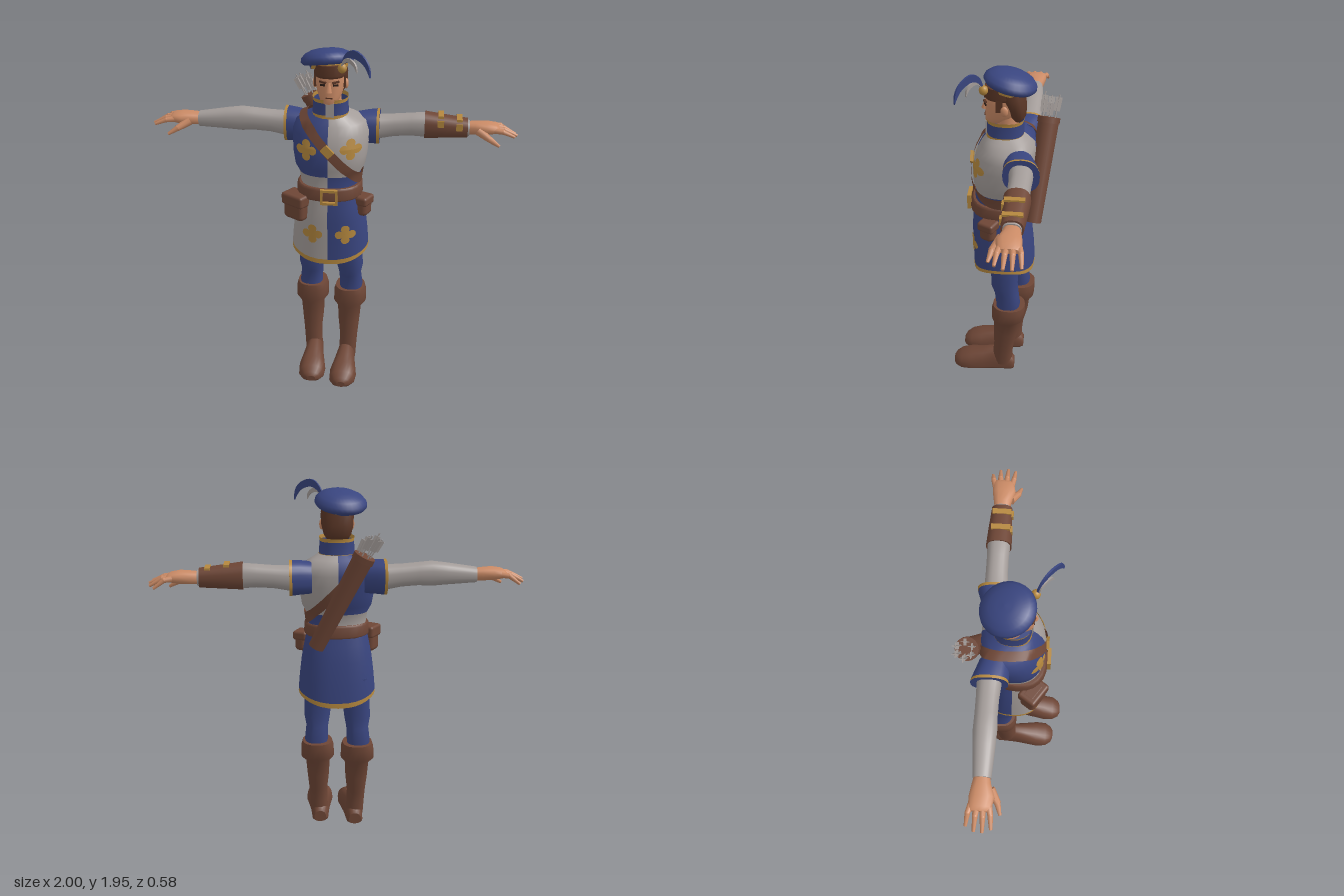
import * as THREE from 'three';
import { RoundedBoxGeometry } from 'three/addons/geometries/RoundedBoxGeometry.js';

const V = (x, y, z) => new THREE.Vector3(x, y, z);
const paint = (name, color) => new THREE.MeshStandardMaterial({ name, color });
const EXP = 0.84; // slightly squared ellipse

// Row: [y, halfWidth, zFront, zBack, zCentre, xCentre, dip]
function ringPoint(r, a) {
  const c = Math.cos(a), s = Math.sin(a), zc = r[4] ?? (r[2] + r[3]) / 2;
  const x = (r[5] || 0) + r[1] * Math.sign(c) * Math.abs(c) ** EXP;
  const z = zc + (s > 0 ? r[2] - zc : r[3] - zc) * Math.abs(s) ** EXP;
  return V(x, r[0] - (r[6] || 0) * s * s, z);
}

// Row of a profile interpolated at height y
function rowAt(rows, y) {
  y = Math.min(Math.max(y, rows[0][0]), rows[rows.length - 1][0]);
  const i = Math.max(1, rows.findIndex((r) => r[0] >= y));
  const p = rows[i - 1], q = rows[i], t = (y - p[0]) / (q[0] - p[0]);
  return [0, 1, 2, 3, 4].map((k) => p[k] + (q[k] - p[k]) * t);
}

// Skin through rows of rising y; pick(row, angle) chooses the material slot
function loft(rows, { seg = 24, caps = true, pick = () => 0 } = {}) {
  const pos = [], faces = [];
  const add = (slot, ...v) => (faces[slot] ??= []).push(...v);
  const ring = (r) => {
    const start = pos.length / 3;
    for (let j = 0; j < seg; j++) pos.push(...ringPoint(r, (j / seg) * Math.PI * 2).toArray());
    return start;
  };
  rows.forEach(ring);
  for (let i = 0; i < rows.length - 1; i++) for (let j = 0; j < seg; j++) {
    const a = i * seg + j, b = i * seg + (j + 1) % seg, c = a + seg, d = b + seg;
    add(pick(i, ((j + 0.5) / seg) * Math.PI * 2), a, c, b, b, c, d);
  }
  if (caps) for (const top of [false, true]) {
    const r = top ? rows[rows.length - 1] : rows[0], s = ring(r), m = pos.length / 3;
    pos.push(r[5] || 0, r[0], (r[2] + r[3]) / 2);
    for (let j = 0; j < seg; j++) {
      const a = s + j, b = s + (j + 1) % seg;
      add(0, ...(top ? [m, b, a] : [m, a, b]));
    }
  }
  const g = new THREE.BufferGeometry();
  g.setAttribute('position', new THREE.Float32BufferAttribute(pos, 3));
  g.setIndex(faces.flat());
  let start = 0;
  faces.forEach((f, k) => { g.addGroup(start, f.length, k); start += f.length; });
  g.computeVertexNormals();
  return g;
}

export function createModel() {
  const model = new THREE.Group();
  model.name = 'archer';
  const blue = paint('blue cloth', 0x39457f), grey = paint('grey cloth', 0xa39c99), gold = paint('gold trim', 0xb5883e);
  const leather = paint('brown leather', 0x6e4636), skin = paint('skin', 0xcb8b66), hair = paint('brown hair', 0x5a3626);
  const dark = paint('dark eyes', 0x2b1d18);
  for (const m of [blue, grey, gold, leather]) m.side = THREE.DoubleSide;

  const add = (name, geo, mat, parent = model) => {
    const m = new THREE.Mesh(geo, mat);
    m.name = name;
    parent.add(m);
    return m;
  };
  const box = (name, size, at, mat, ry = 0, parent = model) => {
    const m = add(name, new THREE.BoxGeometry(...size), mat, parent);
    m.position.set(...at);
    m.rotation.y = ry;
    return m;
  };
  const rod = (name, a, b, ra, rb, mat, sides = 8) => {
    const d = b.clone().sub(a);
    const m = add(name, new THREE.CylinderGeometry(rb, ra, d.length(), sides), mat);
    m.position.copy(a).addScaledVector(d, 0.5);
    m.quaternion.setFromUnitVectors(V(0, 1, 0), d.normalize());
    return m;
  };
  const ball = (name, at, size, mat) => {
    const m = add(name, new THREE.SphereGeometry(1, 12, 8), mat);
    m.position.set(...at);
    m.scale.set(...size);
  };

  // Tunic: quartered chest, then skirt with a dipping hem
  const torso = [[1.13, .162, .165, -.12, 0], [1.2, .16, .158, -.11, 0], [1.26, .168, .155, -.115, 0],
    [1.3, .19, .165, -.135, 0], [1.36, .2, .168, -.15, -.01], [1.42, .205, .162, -.16, -.03],
    [1.48, .208, .145, -.165, -.06], [1.53, .19, .12, -.16, -.07], [1.56, .135, .1, -.13, -.05], [1.585, .09, .08, -.1, -.01]];
  add('tunicChest', loft(torso, { seg: 32, pick: (i, a) => ((i < 2) === (Math.cos(a) > 0) ? 0 : 1) }), [blue, grey]);
  const skirt = [[.8, .215, .17, -.17, 0, 0, .055], [.818, .214, .17, -.17, 0, 0, .045], [.9, .207, .172, -.163, 0, 0, .02],
    [1, .195, .175, -.15, 0], [1.08, .18, .172, -.135, 0], [1.15, .165, .166, -.12, 0]];
  add('tunicSkirt', loft(skirt, { seg: 32, caps: false,
    pick: (i, a) => (i === 0 ? 2 : Math.cos(a) < 0 && Math.sin(a) > 0 ? 1 : 0) }), [blue, grey, gold]);

  // Four-petalled emblems laid on the cloth
  for (const [rows, ex, ey] of [[torso, -.115, 1.41], [torso, .12, 1.42], [skirt, -.083, .93], [skirt, .097, .93]]) {
    const g = new THREE.RingGeometry(.001, 1, 48, 5), p = g.attributes.position;
    for (let i = 0; i < p.count; i++) {
      const k = .056 * (.5 + .5 * Math.abs(Math.cos(2 * Math.atan2(p.getY(i), p.getX(i)))) ** .7);
      const x = ex + p.getX(i) * k, y = ey + p.getY(i) * k, r = rowAt(rows, y), n = 2 / EXP;
      p.setXYZ(i, x, y, r[4] + (r[2] - r[4]) * Math.max(0, 1 - Math.abs(x / r[1]) ** n) ** (1 / n) + .005);
    }
    g.computeVertexNormals();
    add('emblem', g, gold);
  }

  // Collar with gold edges and open front
  add('collar', loft([[1.565, .1, .095, -.105], [1.585, .097, .092, -.103], [1.65, .092, .092, -.1], [1.67, .095, .096, -.104]],
    { caps: false, pick: (i) => (i === 1 ? 0 : 1) }), [blue, gold]);
  box('collarOpening', [.045, .075, .008], [.005, 1.615, .094], grey);

  // Belt, buckle and pouches
  add('belt', loft([[1.13, .172, .178, -.128], [1.14, .18, .184, -.134], [1.19, .178, .18, -.13], [1.2, .168, .17, -.12]]), leather);
  for (const s of [-1, 1]) {
    box('buckleSide', [.013, .08, .02], [.01 + s * .04, 1.162, .19], gold);
    box('buckleBar', [.093, .013, .02], [.01, 1.162 + s * .036, .19], gold);
  }
  for (const [w, h, d, x, y, z, ry] of [[.135, .15, .095, -.17, 1.075, .115, -.6], [.085, .115, .07, .188, 1.075, .07, 1.1]]) {
    const pouch = new THREE.Group();
    pouch.name = 'pouch';
    pouch.position.set(x, y, z);
    pouch.rotation.y = ry;
    model.add(pouch);
    add('pouchBag', new RoundedBoxGeometry(w, h, d, 3, .025), leather, pouch);
    add('pouchFlap', new RoundedBoxGeometry(w + .012, h * .45, d + .014, 2, .015), leather, pouch).position.y = h * .27;
  }

  // Shoulder strap: a slanted band that follows the chest
  const band = [], bandFaces = [], N = 64;
  for (let j = 0; j <= N; j++) {
    const a = (j / N) * Math.PI * 2;
    for (const off of [-.037, 0, .037]) {
      let y = 1.41, p;
      for (let k = 0; k < 60; k++) {
        p = ringPoint(rowAt(torso, y), a);
        y += .15 * (1.41 + off - 1.1 * p.x - y);
      }
      band.push(p.x + Math.cos(a) * .011, p.y + (p.y > 1.52 ? .01 : 0), p.z + Math.sin(a) * .011);
    }
    if (j < N) for (const k of [0, 1]) {
      const i = j * 3 + k;
      bandFaces.push(i, i + 1, i + 3, i + 3, i + 1, i + 4);
    }
  }
  const strap = new THREE.BufferGeometry();
  strap.setAttribute('position', new THREE.Float32BufferAttribute(band, 3));
  strap.setIndex(bandFaces);
  strap.computeVertexNormals();
  add('shoulderStrap', strap, leather);
  box('strapBuckle', [.06, .045, .016], [0, 1.415, .175], gold).rotation.z = -.8;

  // Quiver and arrows
  const q0 = V(.12, 1.1, -.165), q1 = V(-.13, 1.6, -.222), qd = q1.clone().sub(q0).normalize();
  rod('quiver', q0, q1, .044, .056, leather, 16);
  rod('quiverRim', q1.clone().addScaledVector(qd, -.025), q1.clone().addScaledVector(qd, .006), .06, .06, leather, 16);
  for (let i = 0; i < 6; i++) {
    const o = V(Math.cos(i * 1.05) * .03, 0, Math.sin(i * 1.05) * .03), base = q1.clone().add(o);
    const tip = base.clone().addScaledVector(qd, .1 + .015 * (i % 3)).addScaledVector(o, .5);
    const shaft = rod('arrow', base.addScaledVector(qd, -.08), tip, .004, .004, grey, 5);
    for (let k = 0; k < 2; k++) box('fletching', [.034, .065, .003], [0, .055, 0], grey, k * Math.PI / 2, shaft);
  }

  for (const s of [-1, 1]) {
    // Arms, built upright and laid along x
    const side = (name, rows, mat, opt) => add(name,
      loft(rows.map(([x, h, zf, zb, y]) => [x, h, zf, zb, (zf + zb) / 2, -s * y]), opt).rotateZ(-s * Math.PI / 2), mat);
    side('sleeve', [[.16, .07, -.03, -.17, 1.465], [.26, .066, -.045, -.17, 1.468], [.34, .06, -.052, -.168, 1.477], [.43, .061, -.053, -.168, 1.484],
      [.5, .066, -.05, -.17, 1.485], [.58, .058, -.053, -.166, 1.483], [.74, .041, -.062, -.152, 1.475]], grey);
    side('shoulderCap', [[.14, .085, -.01, -.165, 1.465], [.2, .09, -.01, -.185, 1.468], [.243, .093, -.012, -.2, 1.468],
      [.258, .094, -.012, -.203, 1.468]], [blue, gold], { pick: (i) => (i === 2 ? 1 : 0) });
    if (s > 0) {
      side('bracer', [[.5, .073, -.042, -.178, 1.485], [.6, .063, -.047, -.172, 1.481], [.73, .051, -.052, -.162, 1.476]], leather);
      for (const [x, y] of [[.585, 1.545], [.685, 1.529]]) {
        box('bracerStrap', [.03, .012, .1], [x, y, -.105], gold);
        box('bracerBuckle', [.035, .035, .012], [x, y - .035, -.049], gold);
      }
    }
    // Hand with thumb forward and drooping fingers
    side('palm', [[.72, .033, -.07, -.145, 1.475], [.77, .035, -.06, -.155, 1.478], [.83, .034, -.04, -.165, 1.481],
      [.88, .026, -.05, -.165, 1.481], [.9, .014, -.06, -.16, 1.478]], skin, { seg: 14 });
    for (let f = 0; f < 4; f++) {
      const z = -.065 - f * .029, len = [.085, .1, .095, .07][f], fan = (1.3 - f) * .012;
      const a = V(s * .87, 1.48, z), b = V(s * (.87 + len * .55), 1.476, z + fan * .6), c = V(s * (.895 + len), 1.452 - f * .006, z + fan);
      rod('finger', a, b, .017, .014, skin);
      rod('fingerTip', b, c, .014, .008, skin);
      ball('knuckle', b.toArray(), [.014, .014, .014], skin);
    }
    rod('thumb', V(s * .79, 1.472, -.065), V(s * .85, 1.44, -.025), .025, .017, skin);
    rod('thumbTip', V(s * .845, 1.443, -.028), V(s * .9, 1.41, -.012), .017, .008, skin);

    // Legs and boots; the right leg stands a little further back
    const back = s < 0 ? .04 : 0;
    const leg = (name, rows, opt) => loft(rows.map(([y, w, zf, zb, x]) => [y, w, zf - back, zb - back, (zf + zb) / 2 - back, s * x]), opt);
    add('legging', leg('', [[.44, .06, .045, -.09, .115], [.52, .065, .035, -.1, .118], [.6, .062, .045, -.09, .112], [.66, .073, .065, -.085, .112],
      [.76, .077, .066, -.09, .105], [.9, .086, .075, -.1, .095]]), blue);
    add('boot', leg('', [[.05, .05, .06, -.055, .1], [.13, .05, .058, -.058, .105], [.2, .052, .052, -.065, .108], [.3, .062, .052, -.09, .108],
      [.39, .068, .054, -.1, .11], [.42, .094, .063, -.125, .112], [.48, .092, .062, -.13, .112], [.51, .083, .055, -.128, .112]]), leather);
    const foot = loft([[-.068, .035, -.005, -.07], [-.05, .046, 0, -.1], [0, .05, 0, -.14], [.06, .055, 0, -.145], [.12, .065, 0, -.125],
      [.19, .077, 0, -.112], [.25, .073, 0, -.09], [.285, .05, -.005, -.065], [.297, .025, -.012, -.045]]
      .map(([z, w, b, t], i) => [z - back, w, b, t, -.025, s * (.1 - i * .0015)])).rotateX(Math.PI / 2);
    add('foot', foot, leather);

    // Eyes, brows, ears and sideburns
    box('eye', [.026, .01, .006], [s * .034 + .003, 1.752, .096], dark, s * .35);
    box('brow', [.036, .009, .012], [s * .034 + .003, 1.768, .097], hair, s * .35).rotation.z = s * .15;
    ball('ear', [s * .082, 1.735, -.005], [.012, .028, .02], skin);
    box('sideburn', [.012, .075, .035], [s * .076, 1.765, .022], hair);
  }

  // Head
  add('neck', new THREE.CylinderGeometry(.055, .062, .14, 16), skin).position.set(0, 1.62, -.015);
  add('head', loft([[1.635, .025, .092, .02], [1.65, .042, .1, -.02], [1.68, .06, .101, -.06], [1.72, .072, .099, -.08], [1.76, .077, .098, -.088],
    [1.81, .077, .098, -.09], [1.86, .06, .07, -.07]]), skin);
  rod('nose', V(.002, 1.713, .104), V(.002, 1.765, .094), .017, .007, skin, 6);
  box('mouth', [.036, .006, .006], [.002, 1.683, .101], hair);
  add('hairBack', loft([[1.665, .055, -.05, -.092], [1.69, .072, -.03, -.112], [1.74, .085, -.012, -.112], [1.79, .088, .02, -.108], [1.84, .08, .05, -.1]]), hair);
  add('fringe', loft([[1.785, .079, .1, -.09], [1.8, .085, .108, -.095], [1.85, .08, .1, -.09]]), hair);

  // Tilted beret with gold band
  const hat = new THREE.Group();
  hat.name = 'hat';
  hat.position.set(-.018, 1.832, -.022);
  hat.rotation.set(-.24, 0, .09);
  model.add(hat);
  const profile = [[.09, -.022], [.096, -.004], [.128, 0], [.14, .016], [.136, .036], [.115, .058], [.08, .074], [.04, .081], [0, .083]];
  add('beret', new THREE.LatheGeometry(profile.map(([x, y]) => new THREE.Vector2(x, y)), 32), blue, hat);
  add('hatBand', new THREE.CylinderGeometry(.1, .096, .018, 32, 1, true), gold, hat).position.set(.008, -.012, .006);
  ball('hatStud', [.07, 1.845, .1], [.024, .026, .024], gold);

  // Curling plumes
  const plume = (name, mat, scale, z) => {
    const s = new THREE.Shape();
    s.moveTo(0, 0);
    s.bezierCurveTo(.01, .08, .07, .12, .13, .09);
    s.bezierCurveTo(.18, .07, .2, .03, .195, -.02);
    s.bezierCurveTo(.17, .03, .15, .045, .11, .055);
    s.bezierCurveTo(.06, .07, .03, .04, 0, 0);
    const m = add(name, new THREE.ExtrudeGeometry(s, { depth: .01, bevelEnabled: false, curveSegments: 10 }), mat);
    m.position.set(.07, 1.855, z);
    m.rotation.y = -.67;
    m.scale.set(scale, scale, 1);
  };
  plume('bluePlume', blue, 1, .1);
  plume('greyPlume', grey, .55, .108);
  return model;
}
